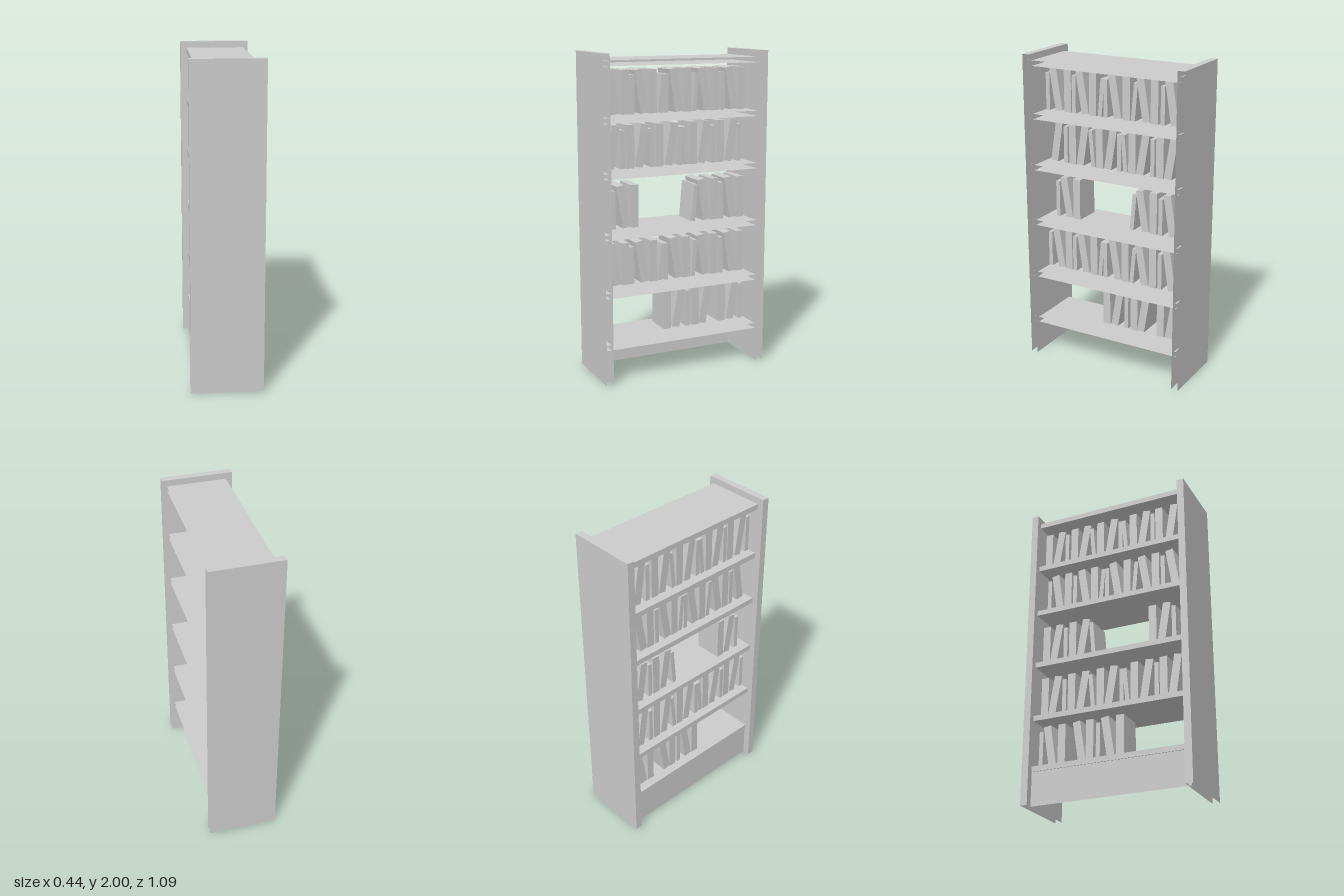
import * as THREE from 'three';

const material = new THREE.MeshStandardMaterial({ color: 0xcccccc, flatShading: true, side: THREE.DoubleSide });

// Box given by its limits; open lists the faces left out (0 +x, 1 -x, 2 +y, 3 -y, 4 +z, 5 -z)
function box(name, [x0, x1], [y0, y1], [z0, z1], open = []) {
  const geometry = new THREE.BoxGeometry(x1 - x0, y1 - y0, z1 - z0);
  const index = Array.from(geometry.index.array);
  geometry.setIndex(index.filter((_, i) => !open.includes(Math.floor(i / 6))));
  geometry.clearGroups();
  const mesh = new THREE.Mesh(geometry, material);
  mesh.name = name;
  mesh.position.set((x0 + x1) / 2, (y0 + y1) / 2, (z0 + z1) / 2);
  return mesh;
}

// Kinds of book: T tall, t thin, L/R tall leaning to +z/-z, l/r thin leaning to +z/-z
const LEAN = { T: 0, t: 0, L: 9, R: -9, l: 5, r: -5 };

function book(kind, floor, z) {
  const tall = 'TLR'.includes(kind);
  const height = tall ? 0.265 : 0.235;
  const width = tall ? 0.05 : 0.027;
  const angle = THREE.MathUtils.degToRad(LEAN[kind]);
  const mesh = new THREE.Mesh(new THREE.BoxGeometry(0.175, height, width), material);
  mesh.name = tall ? 'tallBook' : 'thinBook';
  mesh.rotation.x = angle;
  const rise = (height * Math.cos(angle) + width * Math.abs(Math.sin(angle))) / 2;
  mesh.position.set(-0.0375, floor + rise, z);
  return mesh;
}

// Each shelf: top height and its books as kind + centre z
const SHELVES = [
  [0.247, 'T.06 R-.02 t-.085 T-.14 R-.21 T-.33 R-.41 t-.47'],
  [0.573, 't.487 L.42 T.345 t.30 L.235 T.155 r.10 t.07 L0 T-.073 r-.13 L-.192 T-.27 t-.32 L-.385 T-.455'],
  [0.932, 't.42 L.355 T.28 r-.13 L-.195 T-.27 t-.32 L-.385 T-.455'],
  [1.299, 'R.42 t.355 T.305 R.23 l.165 T.11 R.03 t-.03 l-.065 T-.12 R-.195 t-.26 T-.31 R-.385 t-.445'],
  [1.628, 't.48 L.42 T.335 t.29 L.23 T.155 r.095 t.065 L0 T-.08 r-.135 L-.195 T-.27 t-.325 L-.385 T-.46'],
  [1.96, ''],
];

export function createModel() {
  const group = new THREE.Group();
  group.name = 'bookcase';

  // Side panels, open along one upright edge and underneath
  group.add(box('leftEndPanel', [-0.22, 0.22], [0, 2], [0.5, 0.545], [0, 3]));
  group.add(box('rightEndPanel', [-0.22, 0.22], [0, 2], [-0.545, -0.5], [0, 3]));

  // Plinth board below the lowest shelf
  const plinth = new THREE.Mesh(new THREE.PlaneGeometry(1.025, 0.235), material);
  plinth.name = 'plinth';
  plinth.rotation.y = -Math.PI / 2;
  plinth.position.set(-0.175, 0.1175, 0.0075);
  group.add(plinth);

  // Shelves, open along the same edge, with their books
  for (const [top, row] of SHELVES) {
    group.add(box('shelf', [-0.18, 0.19], [top - 0.034, top], [-0.51, 0.53], [0]));
    const books = new THREE.Group();
    books.name = 'bookRow';
    for (const item of row.split(' ').filter(Boolean)) {
      books.add(book(item[0], top, parseFloat(item.slice(1))));
    }
    if (books.children.length) group.add(books);
  }
  return group;
}
